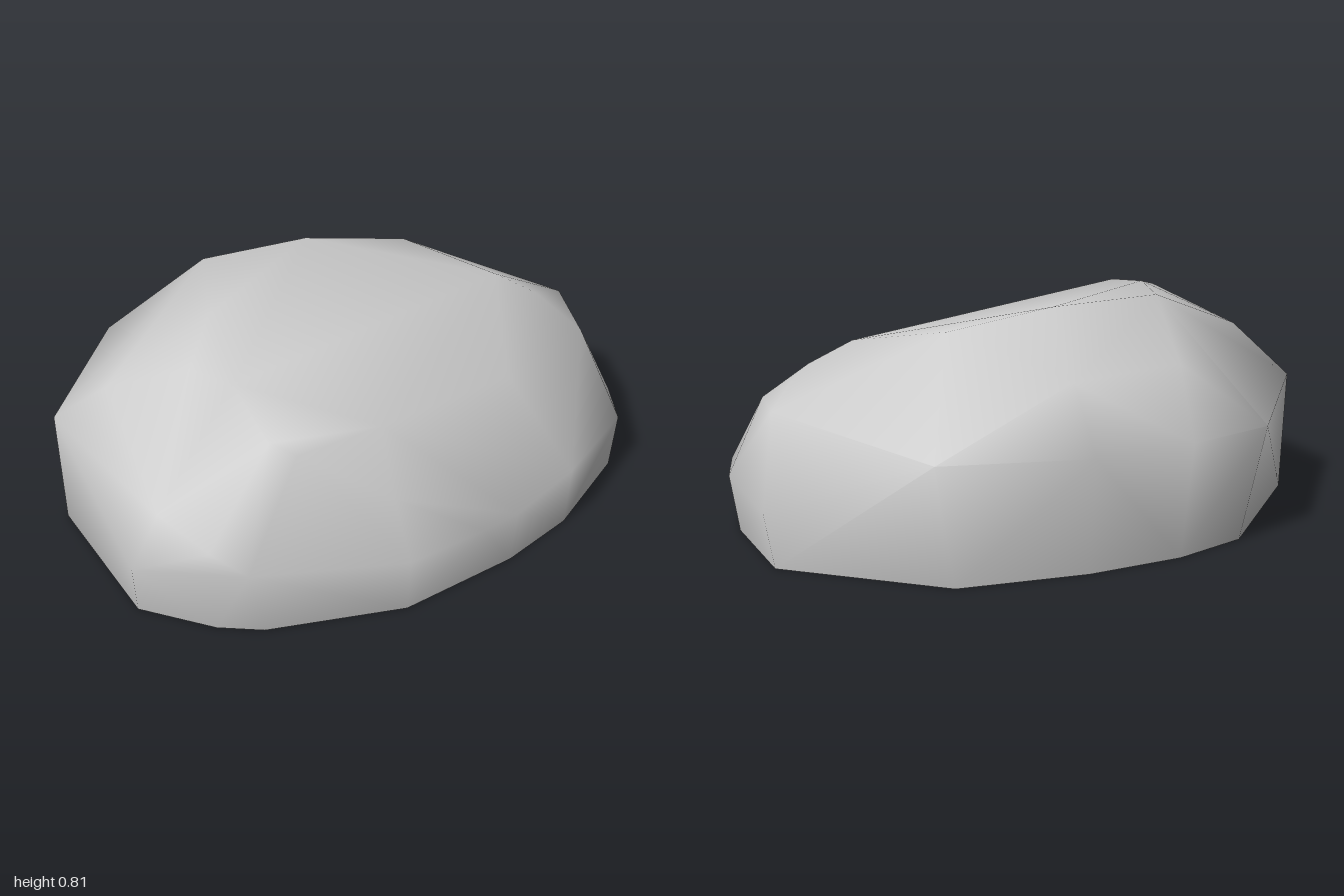
import * as THREE from 'three';
import { ConvexGeometry } from 'three/addons/geometries/ConvexGeometry.js';
import { toCreasedNormals } from 'three/addons/utils/BufferGeometryUtils.js';

// Outline of the flat base, as [x, z], going round from the left back
const base = [
  [-0.96, -0.28], [-0.51, -0.67], [-0.24, -0.72], [0.1, -0.7], [0.54, -0.6], [0.97, -0.155],
  [0.93, 0.24], [0.86, 0.41], [0.52, 0.615], [0.24, 0.7], [-0.2, 0.75], [-0.66, 0.615],
  [-0.79, 0.525], [-0.97, 0.31],
].map(([x, z]) => [x, 0, z]);

// Widest outline of the boulder, as [x, y, z]
const girth = [
  [-0.98, 0.42, -0.28], [-0.57, 0.41, -0.73], [-0.25, 0.41, -0.77], [0.11, 0.41, -0.75],
  [0.62, 0.43, -0.62], [1, 0.19, -0.14], [0.96, 0.2, 0.25], [0.88, 0.2, 0.42],
  [0.53, 0.22, 0.63], [0.25, 0.2, 0.72], [0.1, 0.2, 0.742], [-0.2, 0.2, 0.768],
  [-0.73, 0.27, 0.65], [-0.82, 0.33, 0.555], [-1, 0.2, 0.35],
];

// Shoulder between the sides and the crown
const shoulder = [
  [-0.85, 0.59, -0.12], [-0.3, 0.63, -0.6], [0.1, 0.62, -0.59], [0.91, 0.49, -0.02],
  [0.84, 0.47, 0.22], [0.42, 0.5, 0.38], [-0.16, 0.57, 0.51], [-0.48, 0.57, 0.52],
  [-0.2, 0.385, 0.66], [-0.91, 0.4, 0.37],
];

// Sloping crown, highest at the back
const crown = [
  [-0.35, 0.81, -0.375], [0.03, 0.805, -0.335], [0.38, 0.745, -0.25], [0.59, 0.68, 0.03],
  [0.72, 0.6, 0.1], [0.8, 0.545, 0.08], [-0.48, 0.78, -0.08], [-0.64, 0.715, 0.09],
  [-0.56, 0.71, 0.24], [-0.55, 0.61, 0.465],
];

export function createModel() {
  const group = new THREE.Group();
  group.name = 'boulder';

  // Smooth stone, with a sharp edge only round the base
  const points = [...base, ...girth, ...shoulder, ...crown].map((p) => new THREE.Vector3(...p));
  const geometry = toCreasedNormals(new ConvexGeometry(points), 1.1);
  const rock = new THREE.Mesh(geometry, new THREE.MeshStandardMaterial({ color: 0xcccccc }));
  rock.name = 'rock';
  group.add(rock);
  return group;
}
